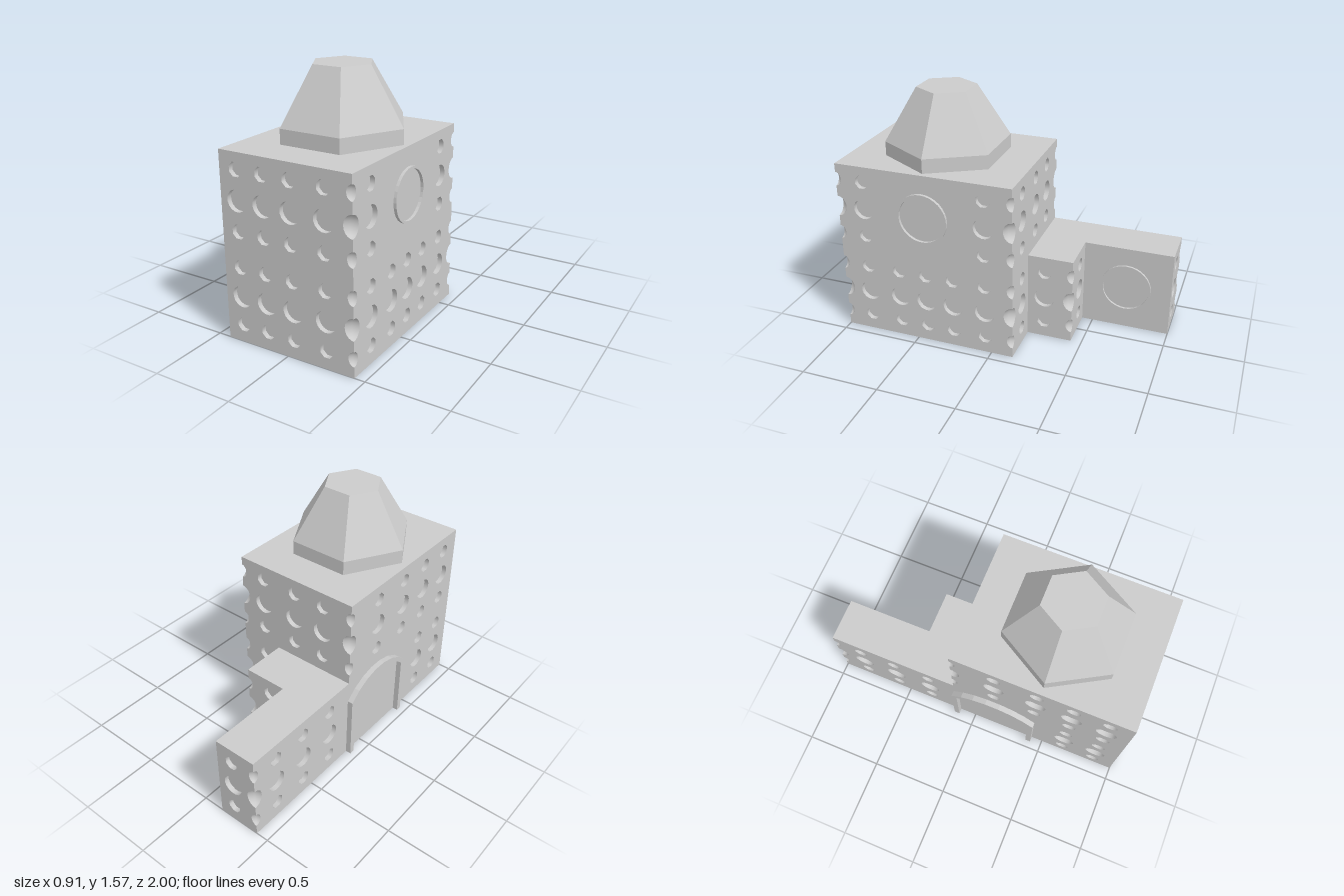
import * as THREE from 'three';
import { mergeGeometries } from 'three/addons/utils/BufferGeometryUtils.js';

const mat = new THREE.MeshStandardMaterial({ color: 0xcccccc, side: THREE.DoubleSide });
const flat = new THREE.MeshStandardMaterial({ color: 0xcccccc, side: THREE.DoubleSide, flatShading: true });

// window rows: height, radius, sides
const LOW = [[0.11, 0.045, 8], [0.285, 0.066, 16], [0.465, 0.045, 8]];
const HIGH = [[0.68, 0.045, 8], [0.86, 0.066, 16], [1.04, 0.045, 8]];
const ALL = [...LOW, ...HIGH];
const DEPTH = 0.03, H = 1.14, W = 0.57;
const biteWidth = r => r - 0.009;

function add(parent, name, geometry, material = mat) {
  const mesh = new THREE.Mesh(geometry, material);
  mesh.name = name;
  parent.add(mesh);
  return mesh;
}

// outline with half-round bites cut into the vertical edges listed in `bites`
function biteOutline(pts, bites) {
  const out = [];
  pts.forEach(([u, v], i) => {
    out.push(new THREE.Vector2(u, v));
    const [u2, v2] = pts[(i + 1) % pts.length];
    if (u !== u2 || !bites.includes(u)) return;
    const dir = Math.sign(v2 - v);
    const rows = ALL.filter(([y]) => (y - v) * (y - v2) < 0);
    if (dir < 0) rows.reverse();
    for (const [y, r] of rows)
      for (let k = 0; k <= 10; k++) {
        const a = -Math.PI / 2 + Math.PI * k / 10;
        out.push(new THREE.Vector2(u - dir * biteWidth(r) * Math.cos(a), y + dir * r * Math.sin(a)));
      }
  });
  return out;
}

// flat wall facing the direction `turn`, at `dist` from the centre, with round recessed windows
function wall(root, name, turn, dist, pts, bites, columns) {
  const g = new THREE.Group();
  g.name = name;
  g.rotation.y = turn;
  root.add(g);
  const shape = new THREE.Shape(biteOutline(pts, bites));
  const pockets = [];
  for (const [us, rows] of columns)
    for (const u of us)
      for (const [y, r, n] of rows) {
        const ring = [];
        for (let k = 0; k < n; k++) {
          const a = (k + 0.5) / n * Math.PI * 2;
          ring.push(new THREE.Vector2(u + r * Math.cos(a), y + r * Math.sin(a)));
        }
        shape.holes.push(new THREE.Path(ring));
        pockets.push(
          new THREE.CylinderGeometry(r, r, DEPTH, n, 1, true).rotateY(Math.PI / n)
            .rotateX(Math.PI / 2).translate(u, y, dist - DEPTH / 2),
          new THREE.CircleGeometry(r, n, Math.PI / n).translate(u, y, dist - DEPTH));
      }
  add(g, name + 'Panel', new THREE.ShapeGeometry(shape).translate(0, 0, dist));
  if (pockets.length) add(g, name + 'Windows', mergeGeometries(pockets));
  return g;
}

// hollow niches where windows wrap round a vertical corner
function cornerNiches(root, x, z, sx, sz, rows) {
  for (const [y, r] of rows) {
    const pos = [], idx = [], n = 10;
    for (let j = 0; j <= n; j++) {
      const a = -Math.PI / 2 + Math.PI * j / n;
      const u = biteWidth(r) * Math.cos(a), v = y + r * Math.sin(a);
      pos.push(x, v, z - sz * u, x - sx * u * 0.65, v, z - sz * u * 0.65, x - sx * u, v, z);
      if (j < n) for (const b of [3 * j, 3 * j + 1]) idx.push(b, b + 1, b + 4, b, b + 4, b + 3);
    }
    const geo = new THREE.BufferGeometry();
    geo.setAttribute('position', new THREE.Float32BufferAttribute(pos, 3));
    geo.setIndex(idx);
    geo.computeVertexNormals();
    add(root, 'cornerNiche', geo);
  }
}

// thin raised ring on a wall
function ringTrim(parent, u, y, dist, depth) {
  const s = new THREE.Shape().absarc(u, y, 0.163, 0, Math.PI * 2);
  s.holes.push(new THREE.Path().absarc(u, y, 0.149, 0, Math.PI * 2));
  add(parent, 'roundTrim', new THREE.ExtrudeGeometry(s, { depth, bevelEnabled: false, curveSegments: 16 })
    .translate(0, 0, dist));
}

const rect = (u0, u1, h) => [[u0, 0], [u1, 0], [u1, h], [u0, h]];

// points along a low arch, from the right springing to the left
function archPoints(half, spring, rise, n = 7) {
  const R = (half * half + rise * rise) / (2 * rise), a0 = Math.asin(half / R);
  return Array.from({ length: n + 1 }, (_, k) => {
    const a = a0 - 2 * a0 * k / n;
    return new THREE.Vector2(0.14 + R * Math.sin(a), spring + rise - R + R * Math.cos(a));
  });
}

export function createModel() {
  const root = new THREE.Group();
  root.name = 'building';
  const Q = Math.PI / 2;

  // main block walls
  wall(root, 'frontWall', 0, 1, rect(-0.42, 0.435, H), [0.435], [[[-0.31, -0.135, 0.045, 0.26], ALL]]);
  const left = wall(root, 'leftWall', Q, 0.435, rect(-1, 0.14, H), [-1, 0.14],
    [[[-0.825, -0.04], ALL], [[-0.61, -0.43, -0.25], LOW]]);
  ringTrim(left, -0.43, 0.86, 0.435, 0.018);
  wall(root, 'backWall', Math.PI, 0.14,
    [[-0.435, 0], [-0.145, 0], [-0.145, W], [0.42, W], [0.42, H], [-0.435, H]], [-0.435, 0.42],
    [[[-0.26], ALL], [[-0.01, 0.21], HIGH]]);

  // long side wall shared by main block and wing
  const right = wall(root, 'rightWall', -Q, 0.42,
    [[-1, 0], [1, 0], [1, H], [-0.14, H], [-0.14, W], [-1, W]], [-1, -0.14],
    [[[-0.815, -0.575, -0.325], LOW], [[0.14, 0.41], HIGH], [[0.64, 0.86], ALL]]);

  // wing walls
  wall(root, 'wingStepSide', Q, 0.145, rect(0.14, 0.43, W), [0.43], [[[0.25], LOW]]);
  wall(root, 'wingStepBack', Math.PI, 0.43, rect(-0.145, 0.14, W), [-0.145], [[[0.03], LOW]]);
  const wingSide = wall(root, 'wingSide', Q, -0.14, rect(0.43, 1, W), [], []);
  ringTrim(wingSide, 0.71, 0.29, -0.14, 0.015);
  wall(root, 'wingEnd', Math.PI, 1, rect(0.14, 0.42, W), [0.42], [[[0.25], LOW]]);

  // windows wrapping the corners
  cornerNiches(root, 0.435, 1, 1, 1, ALL);
  cornerNiches(root, 0.435, -0.14, 1, -1, ALL);
  cornerNiches(root, -0.42, -0.14, -1, -1, HIGH);
  cornerNiches(root, 0.145, -0.43, 1, -1, LOW);
  cornerNiches(root, -0.42, -1, -1, -1, LOW);

  // flat roofs (shape y becomes -z)
  const roof = (name, pts, y) => add(root, name,
    new THREE.ShapeGeometry(new THREE.Shape(pts.map(p => new THREE.Vector2(...p)))).rotateX(-Q).translate(0, y, 0));
  roof('mainRoof', [[-0.42, -1], [0.435, -1], [0.435, 0.14], [-0.42, 0.14]], H);
  roof('wingRoof', [[-0.42, 0.14], [0.145, 0.14], [0.145, 0.43], [-0.14, 0.43], [-0.14, 1], [-0.42, 1]], W);

  // arched door surround
  const outer = archPoints(0.285, 0.43, 0.125), inner = archPoints(0.25, 0.42, 0.105).reverse();
  const frame = new THREE.Shape([
    new THREE.Vector2(0.425, 0), ...outer, new THREE.Vector2(-0.145, 0),
    new THREE.Vector2(-0.11, 0), ...inner, new THREE.Vector2(0.39, 0)]);
  add(right, 'doorSurround', new THREE.ExtrudeGeometry(frame, { depth: 0.035, bevelEnabled: false })
    .translate(0, 0, 0.42));

  // six-sided roof turret: upright base and tapering top
  const base = add(root, 'turretBase', new THREE.CylinderGeometry(0.39, 0.39, 0.09, 6, 1, true, Q), flat);
  base.position.set(0.015, 1.185, 0.43);
  const top = add(root, 'turretTop', new THREE.CylinderGeometry(0.185, 0.39, 0.335, 6, 1, true, Q), flat);
  top.position.set(0.015, 1.3975, 0.43);
  const cap = add(root, 'turretCap', new THREE.CircleGeometry(0.185, 6).rotateX(-Q), flat);
  cap.position.set(0.015, 1.565, 0.43);
  return root;
}
